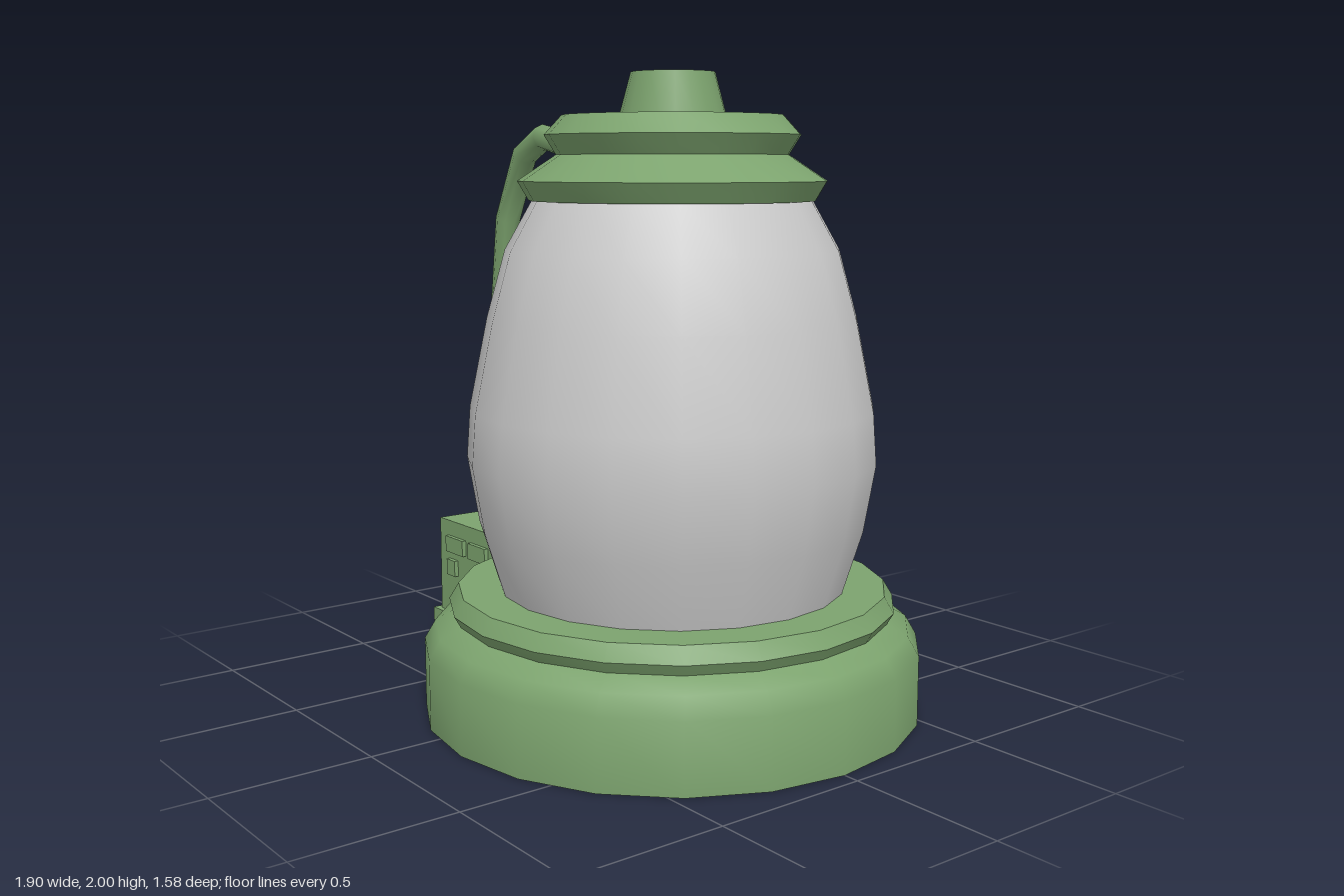
import * as THREE from 'three';
import { toCreasedNormals } from 'three/addons/utils/BufferGeometryUtils.js';

const AXIS_X = 0.16; // the round body stands off centre, beside the control box
const green = new THREE.MeshStandardMaterial({ color: 0x7ca36e });
const grey = new THREE.MeshStandardMaterial({ color: 0xcccccc });

function add(parent, name, geometry, material) {
  const mesh = new THREE.Mesh(geometry, material);
  mesh.name = name;
  parent.add(mesh);
  return mesh;
}

// Round part from a [radius, height] profile, bottom to top
function turned(profile, crease = 0.75) {
  const points = profile.map(([r, y]) => new THREE.Vector2(r, y));
  return toCreasedNormals(new THREE.LatheGeometry(points, 20), crease);
}

// Box given by its limits on each axis
function block(parent, name, [x0, x1], [y0, y1], [z0, z1]) {
  const mesh = add(parent, name, new THREE.BoxGeometry(x1 - x0, y1 - y0, z1 - z0), green);
  mesh.position.set((x0 + x1) / 2, (y0 + y1) / 2, (z0 + z1) / 2);
}

// Low-poly pipe with one ring at each path point
function pipe(path, z, radius) {
  const curve = new THREE.CatmullRomCurve3(path.map(([x, y]) => new THREE.Vector3(x, y, z)));
  curve.getPointAt = curve.getPoint;
  curve.getTangentAt = curve.getTangent;
  return new THREE.TubeGeometry(curve, path.length - 1, radius, 8);
}

export function createModel() {
  const model = new THREE.Group();
  model.name = 'tank';

  // Round body: base, vessel and lid
  const body = new THREE.Group();
  body.name = 'body';
  body.position.x = AXIS_X;
  model.add(body);
  add(body, 'base', turned([
    [0, 0], [0.79, 0], [0.79, 0.22], [0.755, 0.28], [0.69, 0.315],
    [0.71, 0.35], [0.68, 0.4], [0.5, 0.4],
  ], 0.95), green);
  add(body, 'vessel', turned([
    [0.545, 0.39], [0.61, 0.6], [0.646, 0.81], [0.635, 0.97],
    [0.578, 1.25], [0.52, 1.46], [0.43, 1.62],
  ]), grey);
  add(body, 'lid', turned([
    [0, 1.61], [0.445, 1.61], [0.48, 1.67], [0.36, 1.75],
    [0.397, 1.81], [0.342, 1.87], [0.26, 1.83], [0.165, 1.82],
  ]), green);
  add(body, 'knob', turned([[0.178, 1.81], [0.165, 1.87], [0.13, 2], [0, 2]]), green);

  // Control box with its plinth and buttons
  const box = new THREE.Group();
  box.name = 'controlBox';
  model.add(box);
  block(box, 'plinth', [-0.955, -0.545], [0.01, 0.1], [-0.24, 0.23]);
  block(box, 'housing', [-0.93, -0.545], [0.1, 0.44], [-0.215, 0.21]);
  block(box, 'buttonLeft', [-0.87, -0.755], [0.328, 0.385], [0.2, 0.225]);
  block(box, 'buttonRight', [-0.72, -0.607], [0.328, 0.385], [0.2, 0.225]);
  block(box, 'buttonSmall', [-0.865, -0.81], [0.243, 0.3], [0.2, 0.225]);

  // Pipes rising from the box and bending into the lid
  add(model, 'frontPipe', pipe([
    [-0.705, 0.4], [-0.727, 1.03], [-0.665, 1.53], [-0.555, 1.75],
    [-0.44, 1.81], [-0.33, 1.79], [-0.19, 1.74],
  ], 0.073, 0.043), green);
  add(model, 'backPipe', pipe([
    [-0.645, 0.4], [-0.675, 1.03], [-0.605, 1.5],
    [-0.49, 1.74], [-0.36, 1.825], [-0.19, 1.8],
  ], -0.11, 0.054), green);

  return model;
}
